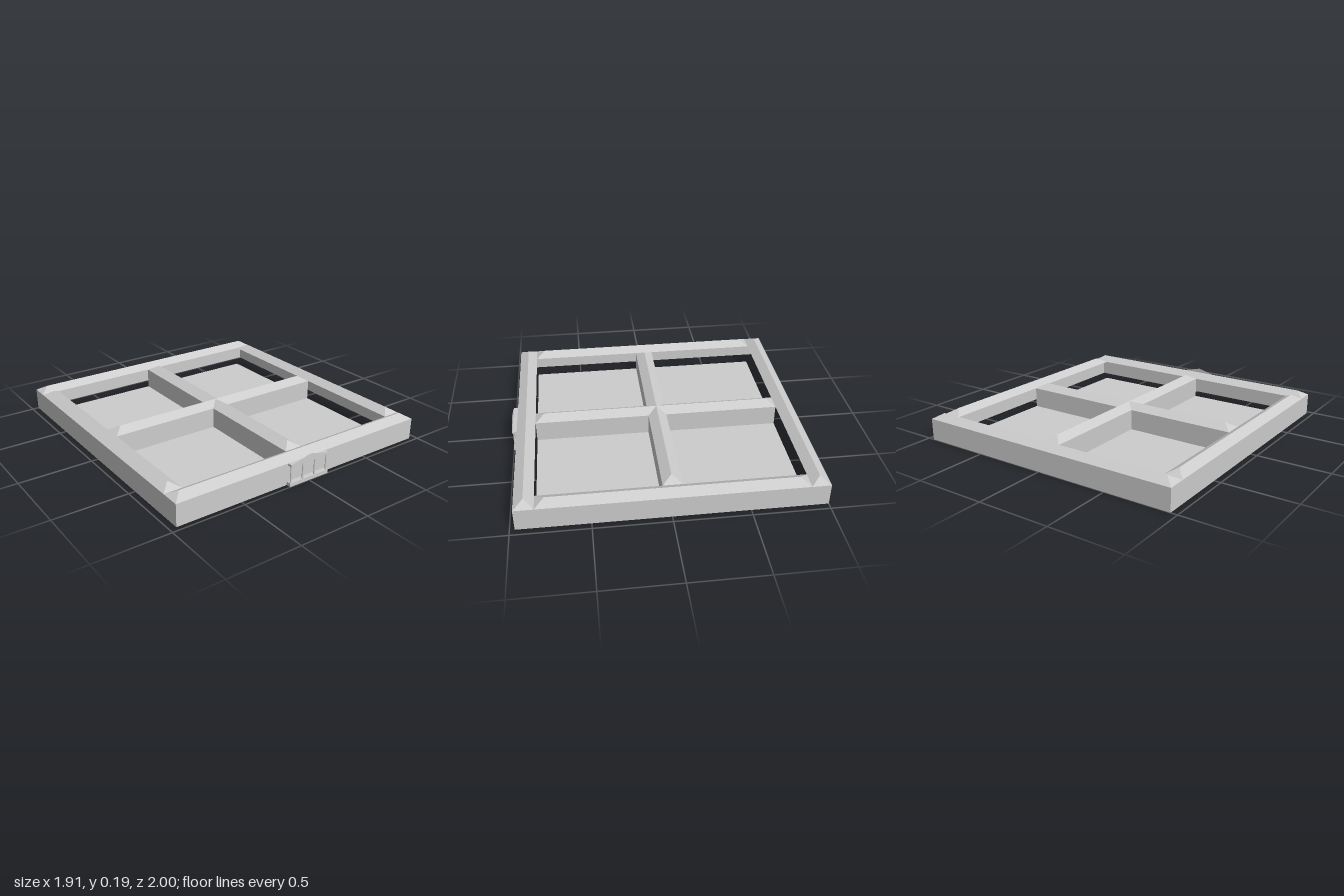
import * as THREE from 'three';

const EAVE = 0.15, RIDGE = 0.187, HIP = 0.0625;

const stone = new THREE.MeshStandardMaterial({ color: 0xcccccc, side: THREE.DoubleSide });
stone.name = 'pale stone';

// Flat-faced geometry from convex polygons of [x, y, z] points
function polygons(faces) {
  const pos = [];
  for (const f of faces)
    for (let i = 1; i < f.length - 1; i++) pos.push(...f[0], ...f[i], ...f[i + 1]);
  const geo = new THREE.BufferGeometry();
  geo.setAttribute('position', new THREE.Float32BufferAttribute(pos, 3));
  geo.computeVertexNormals();
  return geo;
}

// Hipped roof over a rectangle, open underneath, ridge along its longer side
function hipRoof(x0, x1, z0, z1) {
  const a = [x0, EAVE, z0], b = [x1, EAVE, z0], c = [x1, EAVE, z1], d = [x0, EAVE, z1];
  const xm = (x0 + x1) / 2, zm = (z0 + z1) / 2;
  if (x1 - x0 > z1 - z0) {
    const p = [x0 + HIP, RIDGE, zm], q = [x1 - HIP, RIDGE, zm];
    return polygons([[d, c, q, p], [b, a, p, q], [a, d, p], [c, b, q]]);
  }
  const p = [xm, RIDGE, z0 + HIP], q = [xm, RIDGE, z1 - HIP];
  return polygons([[b, a, p], [d, c, q], [a, d, q, p], [c, b, p, q]]);
}

// Four upright walls around a rectangle, without floor or ceiling
function wallRing(x0, x1, z0, z1) {
  const corners = [[x0, z0], [x0, z1], [x1, z1], [x1, z0]];
  return polygons(corners.map(([ax, az], i) => {
    const [bx, bz] = corners[(i + 1) % 4];
    return [[ax, 0, az], [bx, 0, bz], [bx, EAVE, bz], [ax, EAVE, az]];
  }));
}

export function createModel() {
  const model = new THREE.Group();
  model.name = 'courtyardBuilding';
  const add = (name, geo, parent = model) => {
    const mesh = new THREE.Mesh(geo, stone);
    mesh.name = name;
    parent.add(mesh);
    return mesh;
  };
  const box = (name, w, y0, y1, z0, z1, parent) =>
    add(name, new THREE.BoxGeometry(w, y1 - y0, z1 - z0), parent)
      .position.set(0, (y0 + y1) / 2, (z0 + z1) / 2);

  // Outer shell and courtyard floor; the outer wings are open to the courtyards
  const X = 0.955, IN = 0.83, ZB = -1, ZBI = -0.875, ZFI = 0.84, ZF = 0.968;
  add('outerWalls', wallRing(-X, X, ZB, ZF));
  box('courtyardFloor', IN * 2, 0, 0.006, ZBI, ZFI);

  // Roofs of the four outer wings
  add('backRoof', hipRoof(-X, X, ZB, ZBI));
  add('frontRoof', hipRoof(-X, X, ZFI, ZF));
  add('leftRoof', hipRoof(IN, X, ZBI, ZFI));
  add('rightRoof', hipRoof(-X, -IN, ZBI, ZFI));

  // Crossing inner wings
  const spine = [-0.0625, 0.0625, ZBI, ZFI], crossbar = [-IN, IN, -0.08, 0.047];
  add('spineWalls', wallRing(...spine));
  add('spineRoof', hipRoof(...spine));
  add('crossbarWalls', wallRing(...crossbar));
  add('crossbarRoof', hipRoof(...crossbar));

  // Entrance portico
  const portico = new THREE.Group();
  portico.name = 'portico';
  model.add(portico);
  box('porticoStep', 0.31, 0, 0.025, ZF, 1, portico);
  box('porticoBeam', 0.3, 0.135, EAVE, ZF, 0.998, portico);
  add('pediment', polygons([[[-0.15, 0.135, 1], [0.15, 0.135, 1], [0.15, EAVE, 1],
    [0, RIDGE, 1], [-0.15, EAVE, 1]]]), portico);
  for (const x of [-0.143, -0.048, 0.048, 0.143])
    add('column', new THREE.CylinderGeometry(0.0045, 0.006, 0.11, 12), portico)
      .position.set(x, 0.08, 0.99);

  return model;
}
